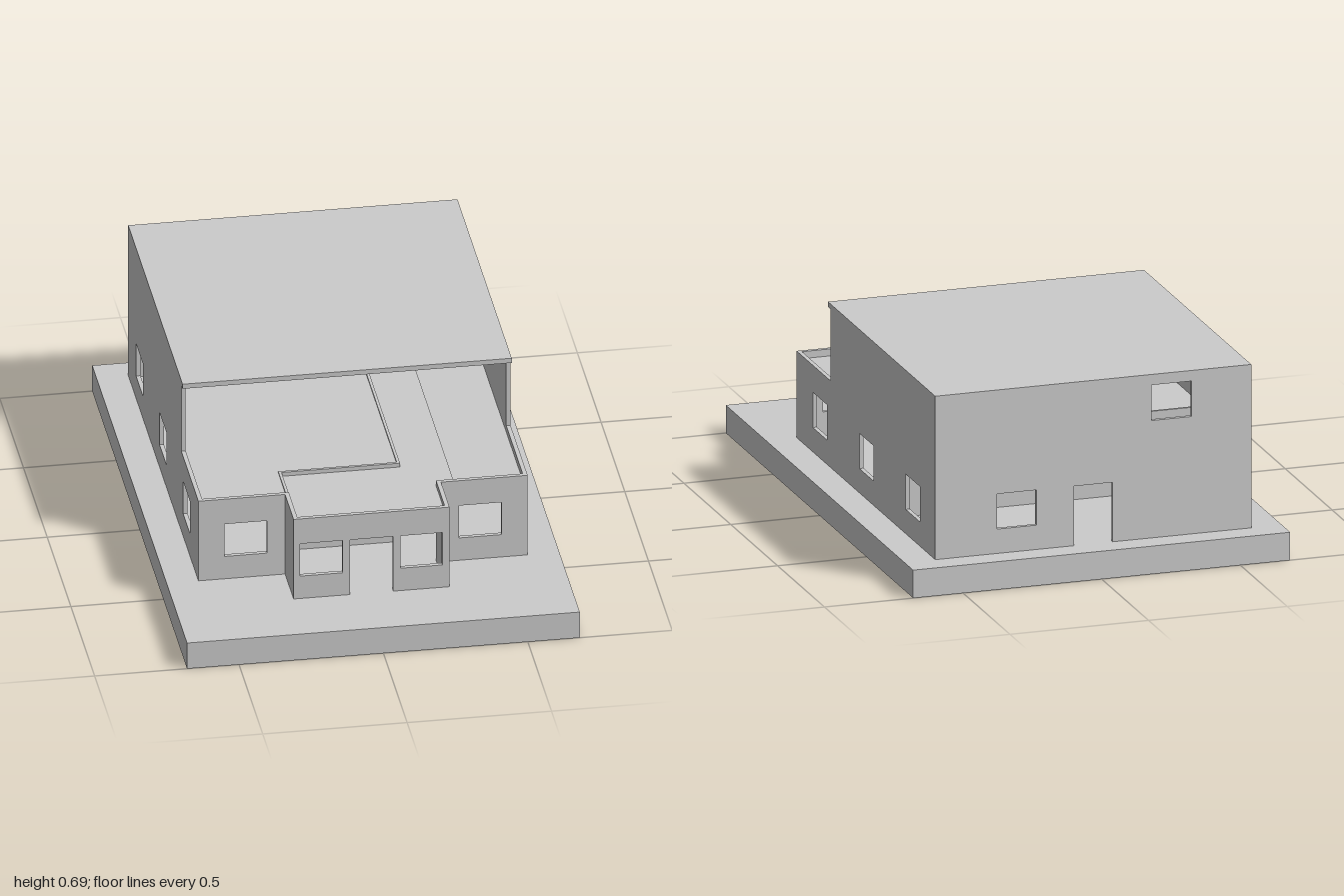
import * as THREE from 'three';

const T = 0.015; // outer wall thickness
const GROUND = 0.1, EAVE = 0.41, TOP = 0.685;
const material = new THREE.MeshStandardMaterial({ color: 0xcccccc, flatShading: true });

export function createModel() {
  const group = new THREE.Group();

  const add = (name, geometry) => {
    const mesh = new THREE.Mesh(geometry, material);
    mesh.name = name;
    group.add(mesh);
    return mesh;
  };

  // Box given by its limits on each axis
  const box = (name, x0, x1, y0, y1, z0, z1) => {
    const g = new THREE.BoxGeometry(x1 - x0, y1 - y0, z1 - z0);
    g.translate((x0 + x1) / 2, (y0 + y1) / 2, (z0 + z1) / 2);
    return add(name, g);
  };

  // Upright panel from an outline, with rectangular holes [u0, u1, v0, v1]
  const panel = (outline, holes, thickness) => {
    const shape = new THREE.Shape(outline.map(([u, v]) => new THREE.Vector2(u, v)));
    for (const [a, b, c, d] of holes) {
      shape.holes.push(new THREE.Path([[a, c], [a, d], [b, d], [b, c]].map(([u, v]) => new THREE.Vector2(u, v))));
    }
    return new THREE.ExtrudeGeometry(shape, { depth: thickness, bevelEnabled: false });
  };
  // Wall in the xy plane, occupying z..z + thickness
  const wallX = (name, outline, holes, z, thickness = T) =>
    add(name, panel(outline, holes, thickness).translate(0, 0, z));
  // Wall in the zy plane, occupying x..x + thickness
  const wallZ = (name, outline, holes, x, thickness = T) =>
    add(name, panel(outline, holes, thickness).rotateY(-Math.PI / 2).translate(x + thickness, 0, 0));

  const rect = (a, b, c, d) => [[a, c], [b, c], [b, d], [a, d]];
  // Rectangle with a doorway notched out of its bottom edge
  const withDoor = (a, b, c, d, d0, d1, head) =>
    [[a, c], [d0, c], [d0, head], [d1, head], [d1, c], [b, c], [b, d], [a, d]];
  const windowAt = (a, b) => [a, b, 0.187, 0.313];

  // Ground slab and roof with a front overhang
  box('baseSlab', -0.68, 0.68, 0, GROUND, -1, 1);
  box('roof', -0.57, 0.57, 0.667, TOP, -0.91, 0.235);

  // Stepped side walls
  const sideOutline = [[-0.91, GROUND], [0.57, GROUND], [0.57, EAVE], [0.21, EAVE], [0.21, 0.667], [-0.91, 0.667]];
  const sideWindows = [windowAt(0.247, 0.397), windowAt(-0.25, -0.1), windowAt(-0.745, -0.595)];
  wallZ('rightSideWall', sideOutline, sideWindows, -0.57);
  wallZ('leftSideWall', sideOutline, sideWindows, 0.57 - T);

  // Back wall with door, lower window and upper window
  wallX('backWall', withDoor(-0.57 + T, 0.57 - T, GROUND, 0.667, -0.07, 0.07, 0.313),
    [windowAt(0.205, 0.347), [-0.355, -0.21, 0.52, 0.647]], -0.91);

  // Front walls beside the porch, and the porch sides
  for (const s of [-1, 1]) {
    const span = (a, b) => (s > 0 ? [a, b] : [-b, -a]);
    wallX('frontWall', rect(...span(0.27 - T, 0.57 - T), GROUND, EAVE), [windowAt(...span(0.332, 0.48))], 0.57 - T);
    box('porchSideWall', ...span(0.27 - T, 0.27), GROUND, EAVE, 0.57, 0.75 - T);
  }
  wallX('porchFrontWall', withDoor(-0.27, 0.27, GROUND, EAVE, -0.075, 0.075, 0.313),
    [windowAt(-0.248, -0.1), windowAt(0.1, 0.245)], 0.75 - T);

  // Room ceilings, which are also the terrace and upper floor
  const inner = 0.57 - T;
  box('mainTerrace', -inner, 0.145, 0.38, 0.4, -0.91 + T, 0.395);
  box('cornerTerrace', -inner, -0.265, 0.38, 0.4, 0.395, 0.57 - T);
  box('hallRoof', 0.155, 0.32, 0.37, 0.39, -0.91 + T, 0.57 - T);
  box('porchRoof', -0.255, 0.155, 0.37, 0.39, 0.405, 0.57 - T);
  box('porchFrontRoof', -0.255, 0.255, 0.37, 0.39, 0.57 - T, 0.75 - T);
  box('sideTerrace', 0.32, inner, 0.365, 0.385, -0.91 + T, 0.57 - T);

  // Inner partitions
  box('porchPartition', -0.265, 0.155, GROUND, 0.405, 0.395, 0.405);
  box('roomPartition', -0.265, -0.255, GROUND, 0.405, 0.405, 0.57 - T);
  box('hallPartition', 0.145, 0.155, GROUND, 0.405, -0.4, 0.395);
  wallZ('sidePartition', withDoor(-0.4, 0.57 - T, GROUND, 0.37, 0.16, 0.305, 0.313), [], 0.31, 0.01);
  box('crossPartition', -0.455, inner, GROUND, 0.37, -0.41, -0.4);

  // Low rail around the upper floor landing
  box('landingRailFront', -0.45, -0.12, 0.4, 0.52, -0.81, -0.8);
  for (const x of [-0.45, -0.13]) box('landingRailSide', x, x + 0.01, 0.4, 0.52, -0.91 + T, -0.81);

  return group;
}
